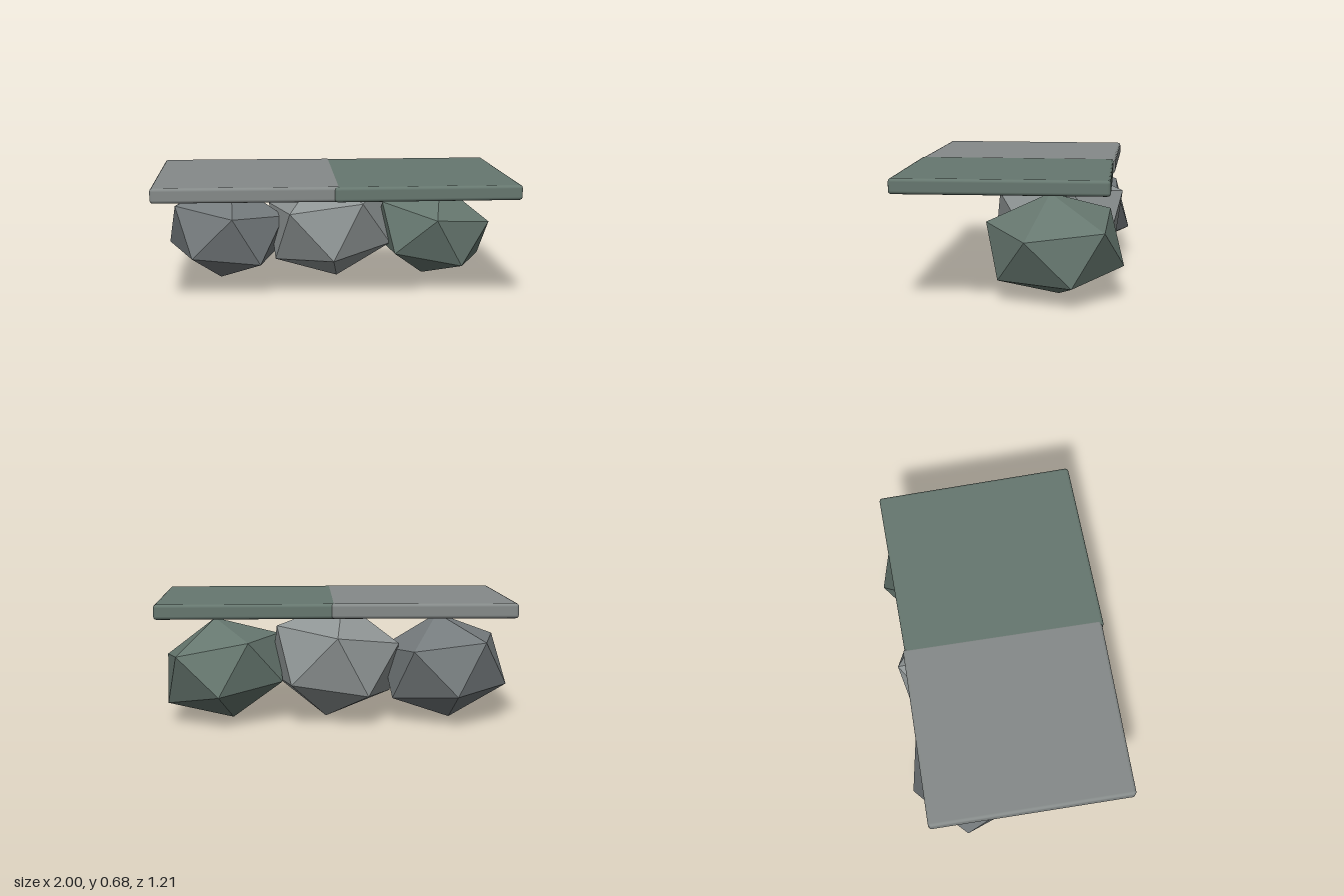
import * as THREE from 'three';
import { RoundedBoxGeometry } from 'three/addons/geometries/RoundedBoxGeometry.js';

// Squashed icosahedron boulder: a centre plus the three corners of one facet
// (offsets from the centre, counter-clockwise) fix its tilt, size and squash.
function boulder(name, color, centre, facet) {
  const geometry = new THREE.IcosahedronGeometry(1, 0);
  const position = geometry.attributes.position;
  const unit = [0, 1, 2].map((i) => new THREE.Vector3().fromBufferAttribute(position, i));
  const target = facet.map((p) => new THREE.Vector3(...p));
  const shape = new THREE.Matrix4().makeBasis(...target)
    .multiply(new THREE.Matrix4().makeBasis(...unit).invert());
  geometry.applyMatrix4(shape);
  geometry.computeVertexNormals();
  const mesh = new THREE.Mesh(geometry, new THREE.MeshStandardMaterial({ color, flatShading: true }));
  mesh.name = name;
  mesh.position.set(...centre);
  return mesh;
}

// Flat stone slab with softened edges
function slab(name, color, size, centre, turn) {
  const mesh = new THREE.Mesh(
    new RoundedBoxGeometry(...size, 2, 0.018),
    new THREE.MeshStandardMaterial({ color })
  );
  mesh.name = name;
  mesh.position.set(...centre);
  mesh.rotation.y = turn;
  return mesh;
}

export function createModel() {
  const group = new THREE.Group();
  group.name = 'stoneBench';
  const grey = 0x858a89, paleGrey = 0x8f9595, darkGrey = 0x757b7d, green = 0x66776f;

  // Two slabs laid side by side, slightly overlapping
  group.add(
    slab('rightSlab', grey, [1.015, 0.082, 1.125], [-0.4925, 0.637, 0.028], 0.002),
    slab('leftSlab', green, [1.015, 0.082, 1.125], [0.474, 0.636, 0.025], 0.024)
  );

  // Three boulders supporting the slabs
  group.add(
    boulder('rightBoulder', darkGrey, [-0.625, 0.298, -0.23],
      [[0.045, 0.122, 0.37], [-0.19, -0.118, 0.31], [0.205, -0.163, 0.284]]),
    boulder('middleBoulder', paleGrey, [-0.01, 0.335, -0.21],
      [[0.01, -0.16, 0.37], [0.18, 0.165, 0.32], [-0.24, 0.105, 0.3]]),
    boulder('leftBoulder', green, [0.61, 0.29, -0.24],
      [[0.05, 0.28, 0.02], [-0.01, 0.11, 0.37], [0.33, 0.06, 0.13]])
  );
  return group;
}
